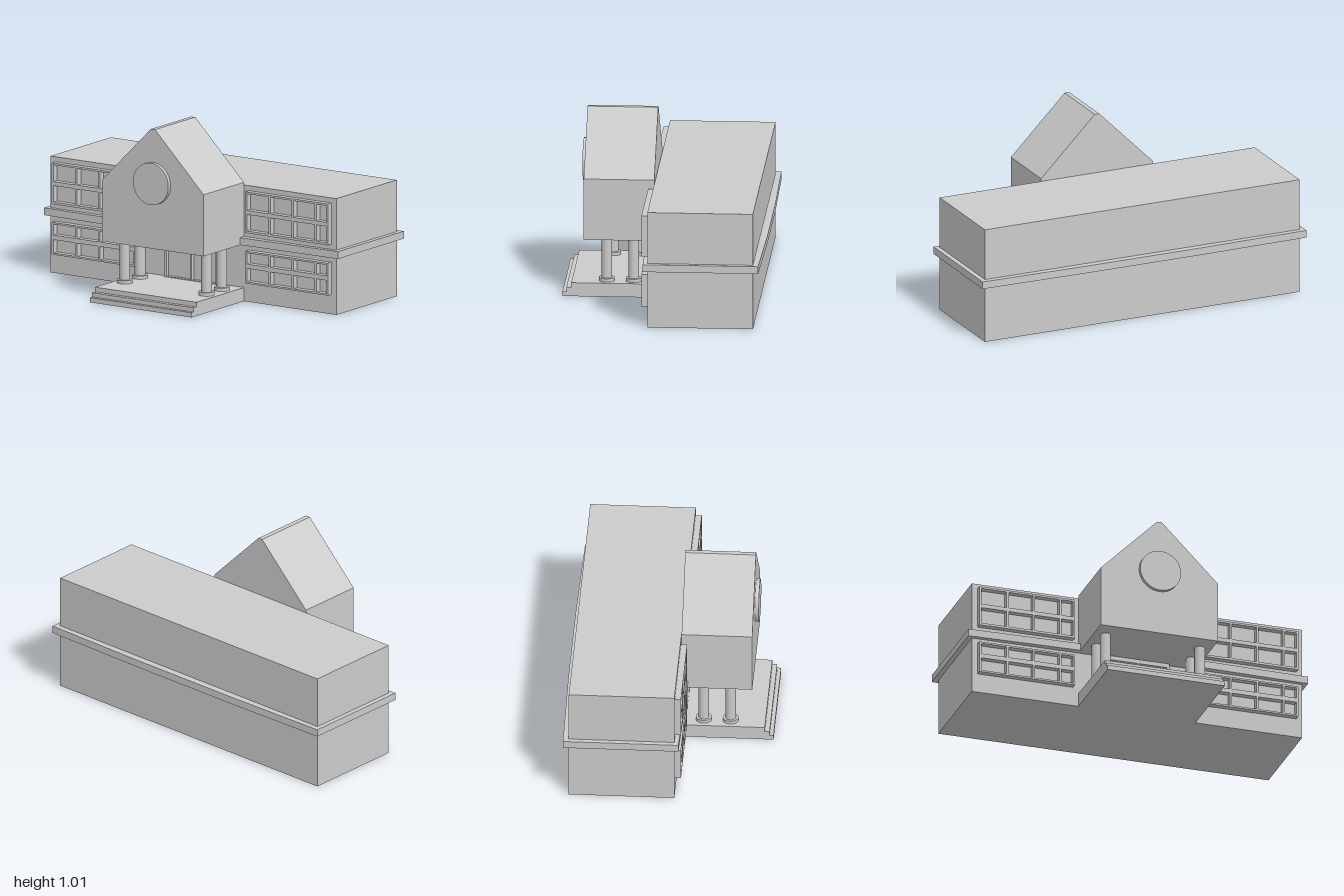
import * as THREE from 'three';

const material = new THREE.MeshStandardMaterial({ color: 0xcccccc });
const WALL_Z = 0.058;

function addMesh(parent, name, geometry, x = 0, y = 0, z = 0) {
  const mesh = new THREE.Mesh(geometry, material);
  mesh.name = name;
  mesh.position.set(x, y, z);
  parent.add(mesh);
  return mesh;
}

// Box given by its extents on each axis
function addBox(parent, name, [x0, x1], [y0, y1], [z0, z1]) {
  return addMesh(parent, name, new THREE.BoxGeometry(x1 - x0, y1 - y0, z1 - z0),
    (x0 + x1) / 2, (y0 + y1) / 2, (z0 + z1) / 2);
}

function polygon(points) {
  return new THREE.Shape(points.map(([x, y]) => new THREE.Vector2(x, y)));
}

function rect(x0, x1, y0, y1) {
  return polygon([[x0, y0], [x1, y0], [x1, y1], [x0, y1]]);
}

// Frame standing on the front wall, with one opening per column and row
function addFrame(parent, name, x, [width, y0, y1], columns, rows, depth) {
  const shape = rect(0, width, y0, y1);
  for (const [a, b] of columns) {
    for (const [c, d] of rows) shape.holes.push(rect(a, b, c, d));
  }
  const geometry = new THREE.ExtrudeGeometry(shape, { depth, bevelEnabled: false });
  addMesh(parent, name, geometry, x, 0, WALL_Z);
}

export function createModel() {
  const model = new THREE.Group();
  model.name = 'building';

  // Long main block
  addBox(model, 'mainBlock', [-0.972, 0.972], [0, 0.665], [-0.533, WALL_Z]);

  // Ledge between the floors, bowed slightly outward at front and back
  const ledge = polygon([
    [-1, -0.082], [-0.345, -0.097], [0.345, -0.097], [1, -0.082],
    [1, 0.564], [0.345, 0.574], [-0.345, 0.574], [-1, 0.564],
  ]);
  const ledgeGeometry = new THREE.ExtrudeGeometry(ledge, { depth: 0.042, bevelEnabled: false });
  ledgeGeometry.rotateX(-Math.PI / 2);
  addMesh(model, 'floorLedge', ledgeGeometry, 0, 0.328, 0);

  // Window grids on both wings and both floors
  const panes = [[0.012, 0.16], [0.174, 0.317], [0.329, 0.473], [0.485, 0.553]];
  const floors = [
    { name: 'upperWindows', y: [0.4, 0.636], rows: [[0.413, 0.507], [0.53, 0.625]] },
    { name: 'lowerWindows', y: [0.112, 0.297], rows: [[0.122, 0.198], [0.224, 0.287]] },
  ];
  for (const left of [-0.94, 0.375]) {
    for (const { name, y, rows } of floors) {
      addFrame(model, name, left, [0.563, ...y], panes, rows, 0.035);
    }
  }

  // Double door frame
  addFrame(model, 'doorFrame', -0.184, [0.368, 0.078, 0.328],
    [[0.016, 0.179], [0.189, 0.352]], [[0.082, 0.304]], 0.024);

  // Porch floor with three steps
  const stepFronts = [0.574, 0.552, 0.525];
  const stepTops = [0, 0.027, 0.051, 0.078];
  stepFronts.forEach((front, i) => {
    addBox(model, 'step', [-0.345, 0.345], [stepTops[i], stepTops[i + 1]], [WALL_Z, front]);
  });

  // Four columns with round bases
  for (const x of [-0.278, 0.278]) {
    for (const z of [0.33, 0.18]) {
      const column = new THREE.Group();
      column.name = 'column';
      column.position.set(x, 0, z);
      addMesh(column, 'columnBase', new THREE.CylinderGeometry(0.044, 0.044, 0.019, 32), 0, 0.0875, 0);
      addMesh(column, 'columnShaft', new THREE.CylinderGeometry(0.03, 0.03, 0.24, 32), 0, 0.21, 0);
      model.add(column);
    }
  }

  // Gabled upper porch with a narrow flat ridge
  const gable = polygon([
    [-0.345, 0.328], [0.345, 0.328], [0.345, 0.68],
    [0.014, 1.011], [-0.014, 1.011], [-0.345, 0.68],
  ]);
  addMesh(model, 'gabledPorch',
    new THREE.ExtrudeGeometry(gable, { depth: 0.395, bevelEnabled: false }), 0, 0, 0.06);

  // Round disc on the gable front
  const disc = new THREE.CylinderGeometry(0.12, 0.12, 0.024, 48);
  disc.rotateX(Math.PI / 2);
  addMesh(model, 'gableDisc', disc, 0, 0.702, 0.465);

  return model;
}
